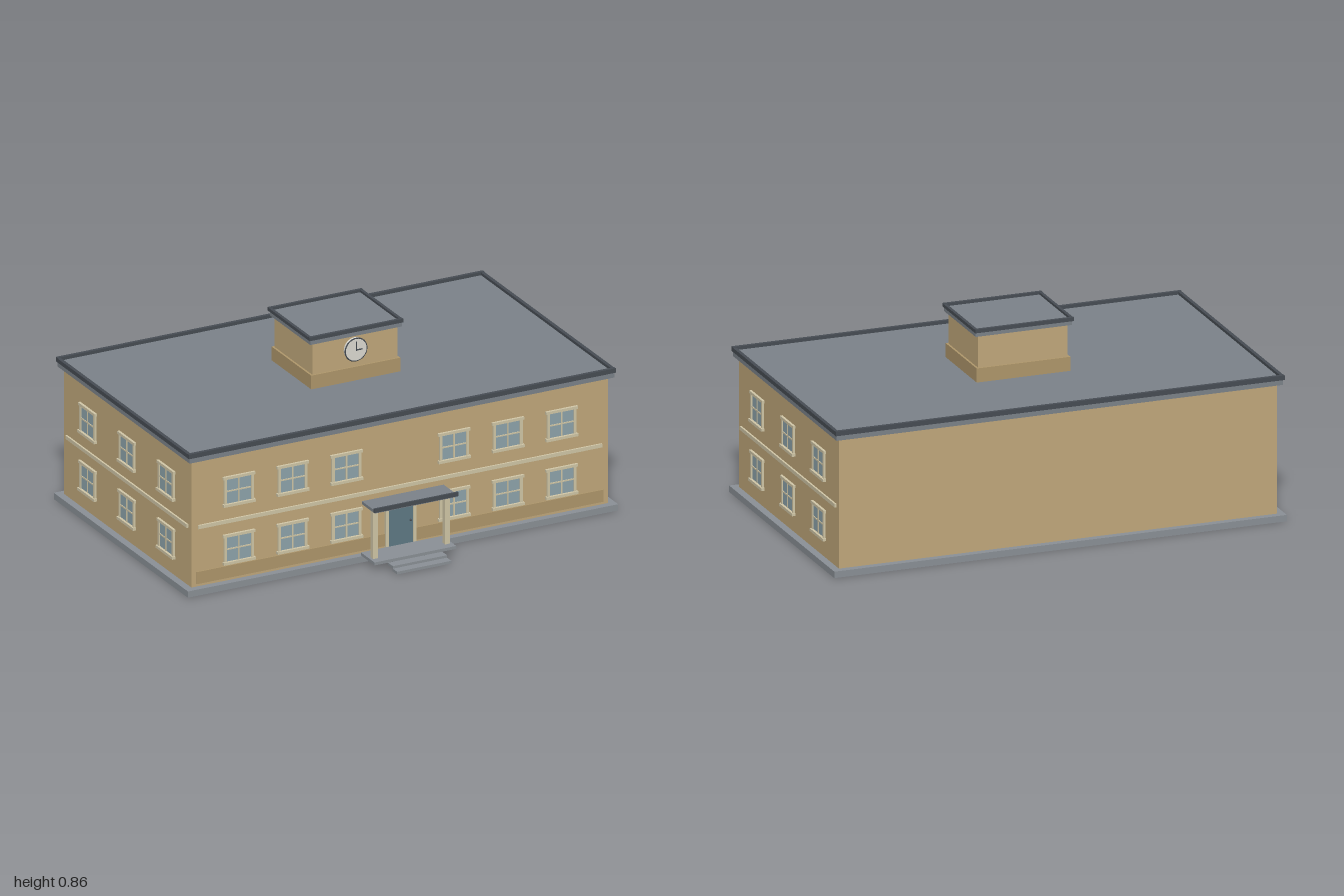
import * as THREE from 'three';

const mat = (color) => new THREE.MeshStandardMaterial({ color });
const wall = mat(0xc2a97c), wainscotMat = mat(0xb0986c), cream = mat(0xd2c8a8), glass = mat(0x8fa5ac),
  roof = mat(0x7c838a), dark = mat(0x474d54), stone = mat(0x8b9197), doorMat = mat(0x5f7a86), white = mat(0xdedcd4);

// Box given by its min and max on each axis
function box(parent, name, m, x0, x1, y0, y1, z0, z1) {
  const mesh = new THREE.Mesh(new THREE.BoxGeometry(x1 - x0, y1 - y0, z1 - z0), m);
  mesh.position.set((x0 + x1) / 2, (y0 + y1) / 2, (z0 + z1) / 2);
  mesh.name = name;
  parent.add(mesh);
  return mesh;
}

// Raised border around a flat roof
function rim(parent, name, w, y0, y1, z0, z1, t) {
  for (const s of [-1, 1]) {
    const x = s * (w - t / 2);
    box(parent, name + 'Side', dark, x - t / 2, x + t / 2, y0, y1 - 0.002, z0 + t, z1 - t);
  }
  box(parent, name + 'Back', dark, -w, w, y0, y1, z0, z0 + t);
  box(parent, name + 'Front', dark, -w, w, y0, y1, z1 - t, z1);
}

// Four-pane window facing +z, with its origin at the wall surface
function makeWindow() {
  const g = new THREE.Group();
  g.name = 'window';
  box(g, 'windowPane', glass, -0.058, 0.058, -0.055, 0.055, -0.004, 0.004);
  for (const s of [-1, 1]) {
    const x = s * 0.062;
    box(g, 'windowJamb', cream, x - 0.006, x + 0.006, -0.058, 0.058, -0.004, 0.009);
  }
  box(g, 'windowLintel', cream, -0.074, 0.074, 0.054, 0.066, -0.004, 0.011);
  box(g, 'windowSill', cream, -0.074, 0.074, -0.067, -0.055, -0.004, 0.015);
  box(g, 'verticalBar', cream, -0.003, 0.003, -0.055, 0.055, 0, 0.007);
  box(g, 'horizontalBar', cream, -0.057, 0.057, -0.003, 0.003, 0, 0.007);
  return g;
}

function makePorch() {
  const g = new THREE.Group();
  g.name = 'porch';
  box(g, 'landing', stone, -0.19, 0.19, 0.027, 0.04, 0.49, 0.612);
  box(g, 'upperStep', stone, -0.126, 0.126, 0.015, 0.026, 0.61, 0.652);
  box(g, 'lowerStep', stone, -0.126, 0.126, 0.003, 0.015, 0.65, 0.69);
  for (const s of [-1, 1]) {
    const x = s * 0.167;
    box(g, 'porchPost', cream, x - 0.011, x + 0.011, 0.04, 0.26, 0.555, 0.577);
  }
  box(g, 'canopy', roof, -0.19, 0.19, 0.259, 0.272, 0.5, 0.614);
  box(g, 'canopyFascia', dark, -0.195, 0.195, 0.264, 0.282, 0.612, 0.62);
  return g;
}

function makeDoor() {
  const g = new THREE.Group();
  g.name = 'door';
  box(g, 'doorLeaf', doorMat, -0.058, 0.058, 0.03, 0.234, 0.465, 0.481);
  for (const s of [-1, 1]) {
    const x = s * 0.064;
    box(g, 'doorJamb', cream, x - 0.007, x + 0.007, 0.03, 0.234, 0.465, 0.485);
  }
  box(g, 'doorHead', cream, -0.071, 0.071, 0.233, 0.244, 0.465, 0.486);
  const knob = new THREE.Mesh(new THREE.SphereGeometry(0.005, 12, 8), dark);
  knob.position.set(0.045, 0.137, 0.485);
  knob.name = 'doorKnob';
  g.add(knob);
  return g;
}

function makeClock() {
  const g = new THREE.Group();
  g.name = 'clock';
  const face = new THREE.Mesh(new THREE.CylinderGeometry(0.05, 0.05, 0.016, 32), white);
  face.rotation.x = Math.PI / 2;
  face.name = 'clockFace';
  const ring = new THREE.Mesh(new THREE.TorusGeometry(0.05, 0.003, 6, 32), dark);
  ring.position.z = 0.006;
  ring.name = 'clockRing';
  g.add(face, ring);
  box(g, 'minuteHand', dark, -0.002, 0.002, -0.003, 0.036, 0.008, 0.013);
  box(g, 'hourHand', dark, -0.002, 0.027, -0.002, 0.002, 0.008, 0.013);
  g.position.set(-0.002, 0.76, 0.084);
  return g;
}

function makeTower() {
  const g = new THREE.Group();
  g.name = 'tower';
  box(g, 'towerBase', wainscotMat, -0.207, 0.207, 0.61, 0.681, -0.267, 0.084);
  box(g, 'towerBody', wall, -0.198, 0.198, 0.68, 0.82, -0.259, 0.076);
  box(g, 'towerRoof', roof, -0.213, 0.213, 0.82, 0.843, -0.271, 0.087);
  rim(g, 'towerRim', 0.218, 0.839, 0.855, -0.28, 0.091, 0.013);
  g.add(makeClock());
  return g;
}

export function createModel() {
  const model = new THREE.Group();
  model.name = 'building';

  // Main block and flat roof
  box(model, 'plinth', stone, -1, 1, 0, 0.028, -0.685, 0.503);
  box(model, 'walls', wall, -0.968, 0.968, 0.027, 0.593, -0.655, 0.472);
  box(model, 'roofSlab', roof, -0.987, 0.987, 0.592, 0.62, -0.677, 0.493);
  rim(model, 'roofRim', 0.992, 0.614, 0.634, -0.682, 0.497, 0.015);

  // Trim on the front and both sides
  box(model, 'frontWainscot', wainscotMat, -0.945, 0.945, 0.04, 0.094, 0.465, 0.477);
  box(model, 'frontBand', cream, -0.938, 0.938, 0.285, 0.301, 0.465, 0.48);
  for (const s of [-1, 1]) {
    const x = s * 0.97;
    box(model, 'sideBand', cream, x - 0.006, x + 0.006, 0.285, 0.301, -0.628, 0.445);
  }

  // Two storeys of windows
  for (const y of [0.169, 0.427]) {
    for (const s of [-1, 1]) {
      for (const x of [0.25, 0.5, 0.75]) {
        const w = makeWindow();
        w.position.set(s * x, y, 0.472);
        model.add(w);
      }
      for (const z of [0.257, -0.09, -0.437]) {
        const w = makeWindow();
        w.position.set(s * 0.968, y, z);
        w.rotation.y = s * Math.PI / 2;
        model.add(w);
      }
    }
  }

  model.add(makeDoor(), makePorch(), makeTower());
  return model;
}
